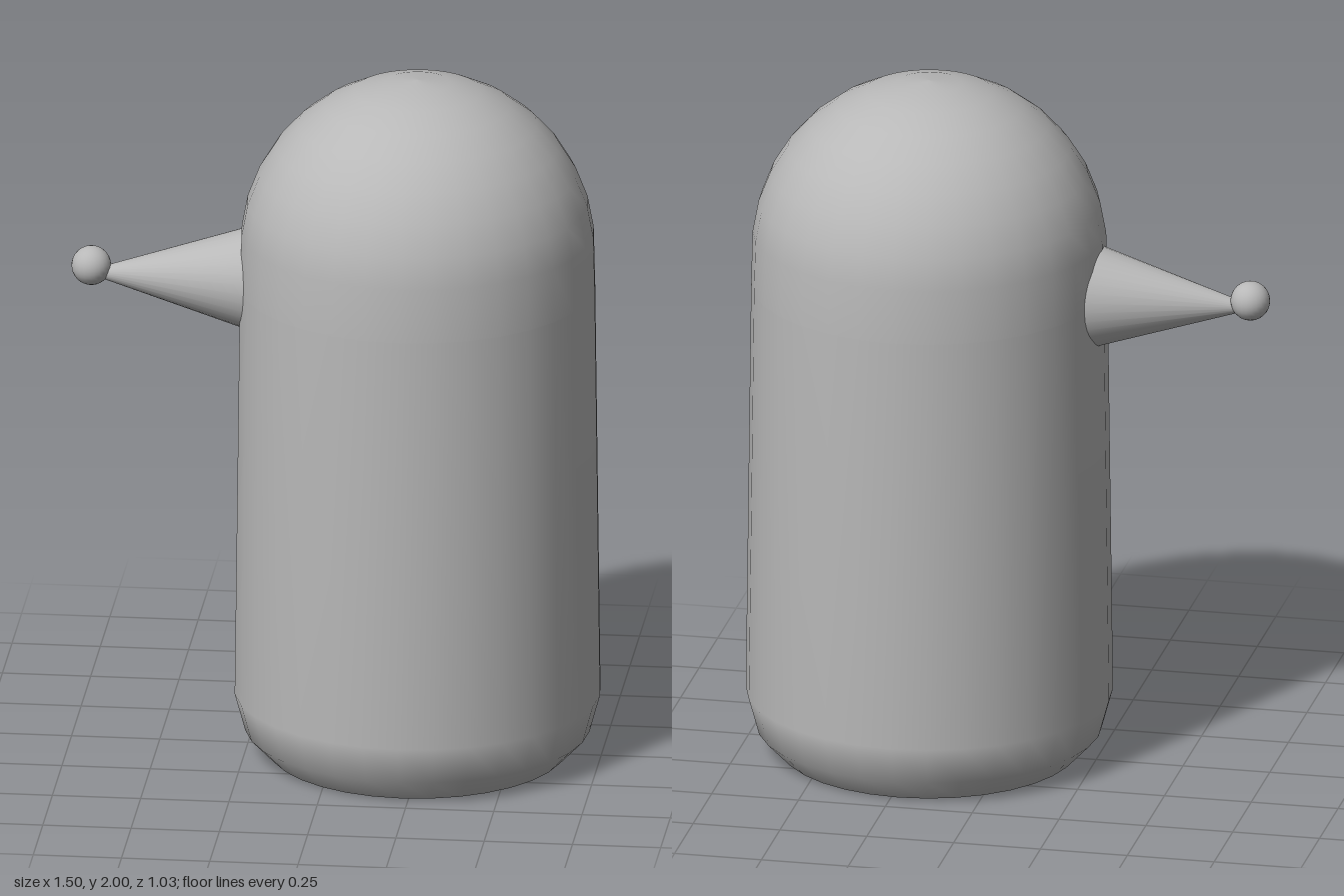
import * as THREE from 'three';

export function createModel() {
  const model = new THREE.Group();
  const grey = new THREE.MeshStandardMaterial({ color: 0xb8b8b8 });
  grey.name = 'plain grey';
  const bodyX = 0.23, sides = 32;

  const add = (name, geometry, x, y, z = 0) => {
    const mesh = new THREE.Mesh(geometry, grey);
    mesh.name = name;
    mesh.position.set(x, y, z);
    model.add(mesh);
    return mesh;
  };
  const lathe = points =>
    new THREE.LatheGeometry(points.map(([r, y]) => new THREE.Vector2(r, y)), sides);

  // Tapered body with a rounded foot
  add('body', lathe([[0.42, 0], [0.487, 0.07], [0.517, 0.18], [0.502, 1.39]]), bodyX, 0);

  // Flat underside
  add('base', new THREE.CircleGeometry(0.42, sides), bodyX, 0).rotation.x = Math.PI / 2;

  // Domed head: a short collar below a hemisphere of radius 0.5
  const dome = [[0.502, 1.39]];
  for (let i = 0; i <= 8; i++) {
    const a = (0.06 + (1 - 0.06) * i / 8) * Math.PI / 2;
    dome.push([Math.max(0, 0.5 * Math.cos(a)), 1.5 + 0.5 * Math.sin(a)]);
  }
  add('head', lathe(dome), bodyX, 0);

  // Pointed nose, sunk slightly into the head
  const nose = new THREE.CylinderGeometry(0.015, 0.155, 0.45, sides);
  add('nose', nose, -0.445, 1.39).rotation.z = Math.PI / 2;

  // Ball at the tip of the nose
  add('noseTip', new THREE.SphereGeometry(0.056, 24, 16), -0.694, 1.41);

  return model;
}
